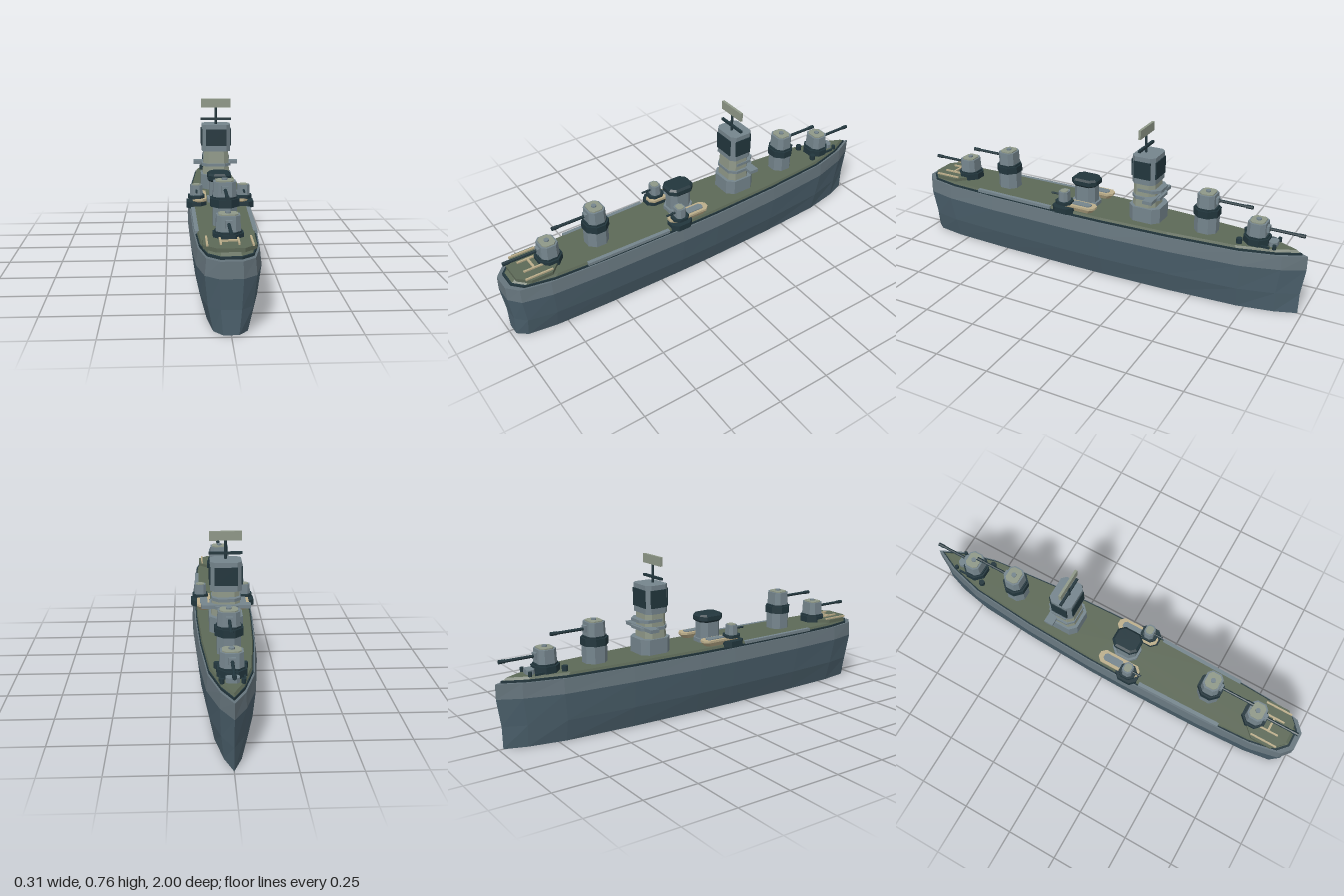
import * as THREE from 'three';

const mat = (name, color) => {
  const m = new THREE.MeshStandardMaterial({ color, flatShading: true });
  m.name = name;
  return m;
};

export function createModel() {
  const lowerHull = mat('lower hull slate', 0x4b606c);
  const grey = mat('warship grey', 0x75858d);
  const dark = mat('dark teal', 0x22363d);
  const olive = mat('deck olive', 0x5d6957);
  const pale = mat('pale olive', 0x8f9888);
  const tan = mat('boat tan', 0xbcae8b);
  const upperHull = mat('upper hull grey', 0x66757d);

  const ship = new THREE.Group();
  ship.name = 'warship';

  const add = (parent, name, geo, material, x = 0, y = 0, z = 0) => {
    const mesh = new THREE.Mesh(geo, material);
    mesh.name = name;
    mesh.position.set(x, y, z);
    parent.add(mesh);
    return mesh;
  };
  const group = (name, x = 0, y = 0, z = 0) => {
    const g = new THREE.Group();
    g.name = name;
    g.position.set(x, y, z);
    ship.add(g);
    return g;
  };

  // Skin a stack of rings; each ring is { y, pts: [[x, z], ...] }
  const loft = (rings) => {
    const v = [];
    const n = rings[0].pts.length;
    const at = (r, i) => [r.pts[i % n][0], r.y, r.pts[i % n][1]];
    for (let k = 0; k < rings.length - 1; k++) {
      const a = rings[k], b = rings[k + 1];
      for (let i = 0; i < n; i++) {
        v.push(...at(a, i), ...at(b, i), ...at(a, i + 1));
        v.push(...at(a, i + 1), ...at(b, i), ...at(b, i + 1));
      }
    }
    const lo = rings[0], hi = rings[rings.length - 1];
    for (let i = 0; i < n; i++) {
      v.push(0, hi.y, 0, ...at(hi, i + 1), ...at(hi, i));
      v.push(0, lo.y, 0, ...at(lo, i), ...at(lo, i + 1));
    }
    const g = new THREE.BufferGeometry();
    g.setAttribute('position', new THREE.Float32BufferAttribute(v, 3));
    g.computeVertexNormals();
    return g;
  };

  // Box with cut corners in plan, optionally tapering towards the top
  const octagon = (w, d, c) => [
    [w, c - d], [w, d - c], [w - c, d], [c - w, d],
    [-w, d - c], [-w, c - d], [c - w, -d], [w - c, -d]];
  const scaled = (pts, sx, sz = sx) => pts.map(([x, z]) => [x * sx, z * sz]);
  const block = (w, d, c, h, taper = 1) => {
    const p = octagon(w / 2, d / 2, c);
    return loft([{ y: 0, pts: p }, { y: h, pts: scaled(p, taper) }]);
  };
  const box = (w, h, d) => new THREE.BoxGeometry(w, h, d);
  const cyl = (r, h, n = 8) => new THREE.CylinderGeometry(r, r, h, n);

  // Hull, pointed bow at -z and narrow cut stern at +z
  const side = [[0.052, -0.9], [0.1, -0.73], [0.13, -0.4], [0.145, -0.05], [0.147, 0.15],
    [0.141, 0.55], [0.127, 0.82], [0.098, 0.955], [0.045, 1]];
  const outline = [[0, -1], ...side, ...side.slice().reverse().map(([x, z]) => [-x, z])];
  const ring = (y, sx, sz) => ({ y, pts: scaled(outline, sx, sz) });
  add(ship, 'lowerHull', loft([ring(0, 0.67, 0.98), ring(0.1, 0.88, 0.982), ring(0.225, 1, 1)]), lowerHull);
  add(ship, 'upperHull', loft([ring(0.225, 1, 1), ring(0.292, 0.94, 1)]), upperHull);
  add(ship, 'deckEdge', loft([ring(0.292, 0.9, 0.975), ring(0.302, 0.9, 0.975)]), dark);
  add(ship, 'deck', loft([ring(0.302, 0.87, 0.965), ring(0.313, 0.84, 0.95)]), olive);
  for (const s of [-1, 1]) {
    const strip = add(ship, 'sideStrip', box(0.018, 0.014, 0.42), grey, s * 0.122, 0.307, 0.43);
    strip.rotation.y = -s * 0.015;
  }

  // Main gun turrets, dir is the way the barrel points
  const turret = (z, dir, lift) => {
    const g = group('mainTurret', 0, 0.31, z);
    if (dir < 0) g.rotation.y = Math.PI;
    if (lift) add(g, 'pedestal', block(0.1, 0.105, 0.028, lift + 0.02), grey);
    add(g, 'turretRing', block(0.12, 0.115, 0.035, 0.034), dark, 0, lift, 0);
    add(g, 'turretCollar', block(0.104, 0.1, 0.03, 0.012), dark, 0, lift + 0.03, 0);
    add(g, 'gunHouse', block(0.098, 0.086, 0.02, 0.068, 0.94), grey, 0, lift + 0.036, 0);
    add(g, 'roofPlate', block(0.076, 0.064, 0.014, 0.005), pale, 0, lift + 0.104, 0);
    add(g, 'hatch', cyl(0.012, 0.008), grey, 0, lift + 0.112, 0);
    add(g, 'gunMantlet', box(0.028, 0.03, 0.02), grey, 0, lift + 0.075, 0.043);
    add(g, 'gunBarrel', cyl(0.007, 0.165), dark, 0, lift + 0.075, 0.125).rotation.x = Math.PI / 2;
    add(g, 'muzzle', cyl(0.009, 0.03), dark, 0, lift + 0.075, 0.195).rotation.x = Math.PI / 2;
  };
  turret(0.77, 1, 0);
  turret(0.53, 1, 0.083);
  turret(-0.53, -1, 0.083);
  turret(-0.77, -1, 0);

  // Bridge tower
  const tower = group('bridgeTower', 0, 0, -0.24);
  add(tower, 'towerBase', block(0.15, 0.155, 0.03, 0.073), grey, 0, 0.312, 0);
  add(tower, 'towerMiddle', block(0.13, 0.115, 0.025, 0.115, 0.93), pale, 0, 0.385, 0.005);
  add(tower, 'lowerLedge', block(0.145, 0.14, 0.03, 0.014), grey, 0, 0.425, -0.005);
  add(tower, 'bridgeWing', box(0.22, 0.016, 0.045), grey, 0, 0.433, -0.04);
  add(tower, 'upperLedge', block(0.13, 0.135, 0.03, 0.014), grey, 0, 0.46, -0.01);
  add(tower, 'bridgeHouse', block(0.14, 0.115, 0.02, 0.132), grey, 0, 0.5, 0.005);
  for (const s of [-1, 1]) {
    add(tower, 'endWindow', box(0.102, 0.082, 0.006), dark, 0, 0.569, 0.005 + s * 0.059);
    add(tower, 'sideWindow', box(0.006, 0.082, 0.082), dark, s * 0.071, 0.569, 0.005);
  }
  add(tower, 'mast', cyl(0.006, 0.1), dark, 0, 0.675, 0.02);
  add(tower, 'mastYard', box(0.15, 0.011, 0.012), dark, 0, 0.658, 0.02);
  add(tower, 'radarPanel', box(0.145, 0.042, 0.012), pale, 0, 0.736, 0.02);

  // Funnel
  const funnel = group('funnel', 0, 0, 0.088);
  add(funnel, 'funnelFoot', block(0.11, 0.13, 0.03, 0.02), grey, 0, 0.311, 0);
  add(funnel, 'funnelBody', block(0.09, 0.11, 0.025, 0.1), grey, 0, 0.315, 0);
  add(funnel, 'funnelCap', loft([
    { y: 0.41, pts: octagon(0.045, 0.055, 0.024) },
    { y: 0.42, pts: octagon(0.054, 0.066, 0.026) },
    { y: 0.44, pts: octagon(0.054, 0.066, 0.026) },
    { y: 0.449, pts: octagon(0.044, 0.056, 0.02) }]), dark);

  // Side guns on sponsons, with a boat beside each
  for (const s of [-1, 1]) {
    const g = group('sideBattery', s * 0.108, 0, 0.15);
    add(g, 'sponson', block(0.09, 0.11, 0.025, 0.028), dark, 0, 0.302, 0);
    add(g, 'gunPlatform', block(0.074, 0.08, 0.02, 0.014), dark, 0, 0.342, 0);
    add(g, 'smallGunHouse', block(0.058, 0.05, 0.013, 0.048, 0.94), grey, 0, 0.355, 0);
    add(g, 'smallRoof', block(0.04, 0.034, 0.009, 0.004), pale, 0, 0.402, 0);
    add(g, 'smallBarrel', cyl(0.005, 0.05), dark, 0, 0.38, 0.045).rotation.x = Math.PI / 2;
    const b = group('sideBoat', s * 0.093, 0, 0.095);
    add(b, 'boatHull', loft([
      { y: 0.314, pts: octagon(0.022, 0.085, 0.015) },
      { y: 0.334, pts: octagon(0.032, 0.105, 0.02) },
      { y: 0.344, pts: octagon(0.032, 0.105, 0.02) }]), tan);
    add(b, 'boatCover', block(0.036, 0.1, 0.01, 0.004), grey, 0, 0.344, -0.03);
  }

  // Stern platform with tan rails
  const stern = group('sternPlatform', 0, 0, 0.85);
  add(stern, 'platform', block(0.205, 0.2, 0.05, 0.016), olive, 0, 0.312, 0);
  for (const s of [-1, 1]) {
    add(stern, 'outerRail', box(0.008, 0.008, 0.13), tan, s * 0.087, 0.331, 0.005);
    add(stern, 'innerRail', box(0.008, 0.008, 0.1), tan, s * 0.035, 0.331, 0.005);
  }
  add(stern, 'crossRail', box(0.07, 0.008, 0.01), tan, 0, 0.331, 0.005);

  // Bow fittings
  for (const s of [-1, 1]) {
    add(ship, 'capstan', cyl(0.014, 0.026), dark, s * 0.055, 0.324, -0.705);
    add(ship, 'bollard', cyl(0.009, 0.02), dark, s * 0.042, 0.322, -0.86);
    add(ship, 'bowRail', box(0.008, 0.01, 0.05), dark, s * 0.05, 0.318, -0.815);
  }
  add(ship, 'windlass', block(0.055, 0.04, 0.012, 0.022), grey, 0, 0.312, -0.845);

  return ship;
}
